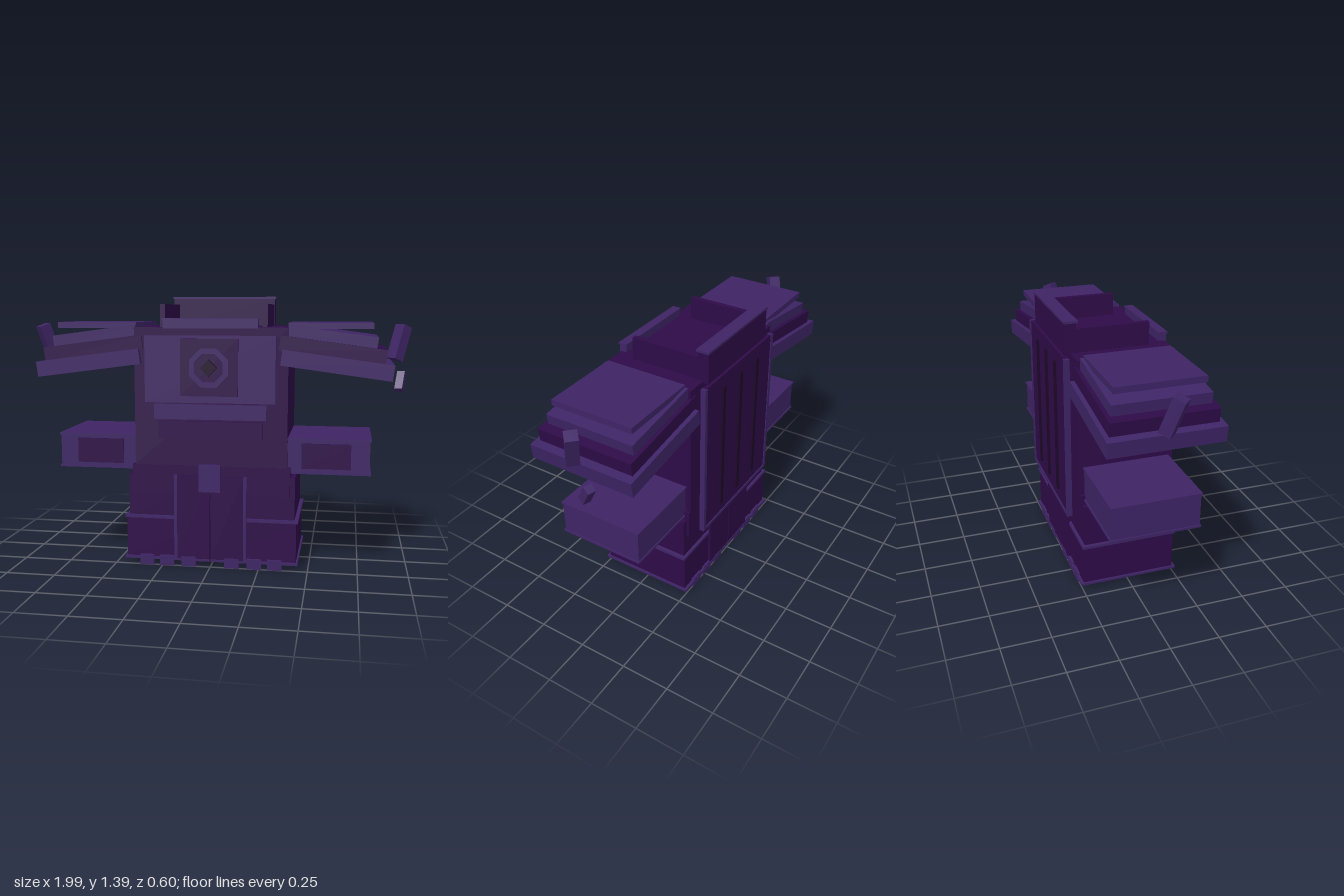
import * as THREE from 'three';

export function createModel() {
  const model = new THREE.Group();
  model.name = 'robot';
  const mat = (name, color) => Object.assign(new THREE.MeshStandardMaterial({ color }), { name });
  const dark = mat('dark purple', 0x2e0b48);
  const light = mat('light purple', 0x3e2465);
  const black = mat('near black', 0x1d0729);

  const add = (name, geo, m, parent = model) => {
    const mesh = new THREE.Mesh(geo, m);
    mesh.name = name;
    parent.add(mesh);
    return mesh;
  };
  // Box given by its limits on each axis
  const box = (name, m, x0, x1, y0, y1, z0, z1, parent) => {
    const mesh = add(name, new THREE.BoxGeometry(x1 - x0, y1 - y0, z1 - z0), m, parent);
    mesh.position.set((x0 + x1) / 2, (y0 + y1) / 2, (z0 + z1) / 2);
    return mesh;
  };
  // Same box on both sides of the body
  const pair = (name, m, x0, x1, ...rest) => {
    box(name + 'Left', m, x0, x1, ...rest);
    box(name + 'Right', m, -x1, -x0, ...rest);
  };

  // Torso and waist
  box('torso', dark, -0.39, 0.39, 0.53, 1.23, -0.25, 0.24);
  box('waist', dark, -0.405, 0.405, 0.38, 0.53, -0.25, 0.242);
  box('buckle', light, -0.055, 0.055, 0.4, 0.538, 0.24, 0.272);
  box('bellyPlate', dark, -0.265, 0.265, 0.67, 0.76, 0.23, 0.256);
  box('bellyBar', light, -0.285, 0.285, 0.77, 0.845, 0.23, 0.26);
  box('chestPlate', light, -0.33, 0.33, 0.855, 1.19, 0.23, 0.267);
  box('chestSquare', dark, -0.145, 0.145, 0.89, 1.175, 0.25, 0.28);
  box('collarBar', light, -0.24, 0.24, 1.225, 1.265, 0.21, 0.25);
  box('collarCap', light, -0.243, 0.243, 1.265, 1.275, 0.206, 0.254);

  // Chest emblem: octagonal ring around a diamond stud
  const polygon = (Type, r, n, turn) => {
    const s = new Type();
    s.setFromPoints(Array.from({ length: n }, (_, i) => {
      const a = turn + (i * 2 * Math.PI) / n;
      return new THREE.Vector2(r * Math.cos(a), r * Math.sin(a));
    }));
    return s;
  };
  const ring = polygon(THREE.Shape, 0.105, 8, Math.PI / 8);
  ring.holes.push(polygon(THREE.Path, 0.076, 8, Math.PI / 8));
  add('chestRing', new THREE.ExtrudeGeometry(ring, { depth: 0.02, bevelEnabled: false }), light)
    .position.set(0, 1.032, 0.272);
  add('chestStud', new THREE.ExtrudeGeometry(polygon(THREE.Shape, 0.042, 4, 0),
    { depth: 0.028, bevelEnabled: false }), black).position.set(0, 1.032, 0.272);

  // Open frame on top of the torso
  box('frameBack', dark, -0.28, 0.28, 1.22, 1.375, -0.277, -0.22);
  box('frameCap', light, -0.285, 0.285, 1.375, 1.386, -0.281, -0.212);
  pair('frameSide', dark, 0.25, 0.277, 1.22, 1.345, -0.22, 0.145);

  // Back panel with rims and grooves
  box('backMount', dark, -0.3, 0.3, 0.82, 1.18, -0.273, -0.24);
  box('backPanel', dark, -0.32, 0.32, 0.39, 1.22, -0.292, -0.272);
  pair('backRim', light, 0.315, 0.335, 0.383, 1.22, -0.297, -0.27);
  box('backRimBottom', light, -0.335, 0.335, 0.383, 0.4, -0.297, -0.27);
  for (const x of [-0.165, 0, 0.165])
    box('backGroove', black, x - 0.012, x + 0.012, 0.46, 1.16, -0.302, -0.29);

  // Legs
  pair('upperLeg', dark, 0.003, 0.43, 0.25, 0.478, -0.235, 0.225);
  pair('lowerLeg', dark, 0.003, 0.44, 0.04, 0.25, -0.245, 0.24);
  pair('kneeTrim', light, 0.185, 0.449, 0.246, 0.26, -0.25, 0.246);
  pair('soleTrim', light, 0.003, 0.45, 0.03, 0.042, -0.26, 0.256);
  pair('legPanel', dark, 0.003, 0.175, 0.04, 0.48, 0.24, 0.253);
  pair('legStrip', light, 0.171, 0.187, 0.042, 0.48, 0.238, 0.256);
  pair('legBackPanel', dark, 0.003, 0.2, 0.04, 0.53, -0.257, -0.245);
  for (const x of [0.112, 0.227, 0.332]) {
    pair('toeFront', light, x - 0.037, x + 0.037, 0, 0.052, 0.236, 0.257);
    pair('toeBack', light, x - 0.037, x + 0.037, 0, 0.052, -0.257, -0.238);
  }

  // Lower arm blocks
  pair('armBlock', light, 0.38, 0.798, 0.51, 0.67, -0.222, 0.213);
  pair('armTrimTop', light, 0.38, 0.805, 0.67, 0.68, -0.228, 0.218);
  pair('armTrimBottom', light, 0.38, 0.805, 0.5, 0.51, -0.228, 0.218);
  pair('armWindow', dark, 0.46, 0.705, 0.527, 0.655, 0.21, 0.218);

  // Shoulder slabs: [material, centre x, centre y, length, thickness, depth, tilt]
  const slabs = [
    [light, 0.627, 1.05, 0.545, 0.078, 0.55, 0.132],
    [dark, 0.605, 1.122, 0.52, 0.075, 0.505, 0.132],
    [light, 0.602, 1.184, 0.44, 0.06, 0.465, 0.132],
    [light, 0.593, 1.239, 0.415, 0.03, 0.43, 0],
  ];
  for (const s of [1, -1]) {
    const shoulder = new THREE.Group();
    shoulder.name = s > 0 ? 'shoulderLeft' : 'shoulderRight';
    model.add(shoulder);
    for (const [m, x, y, w, h, d, tilt] of slabs) {
      const slab = add('shoulderSlab', new THREE.BoxGeometry(w, h, d), m, shoulder);
      slab.position.set(s * x, y, -0.004);
      slab.rotation.z = -s * tilt;
    }
    // Tilted horn, turned half round on the other side
    const horn = add('horn', new THREE.BoxGeometry(0.06, 0.18, 0.06), light, shoulder);
    horn.position.set(s * 0.933, 1.151, 0);
    horn.rotation.set(0, Math.PI / 4 + (s < 0 ? Math.PI : 0), -0.35, 'YXZ');
  }

  // Small loose stub beside the left shoulder
  const stub = add('stub', new THREE.BoxGeometry(0.04, 0.1, 0.04), light);
  stub.position.set(0.95, 0.948, -0.076);
  stub.rotation.set(0, Math.PI * 0.4, -0.52, 'YXZ');

  return model;
}
